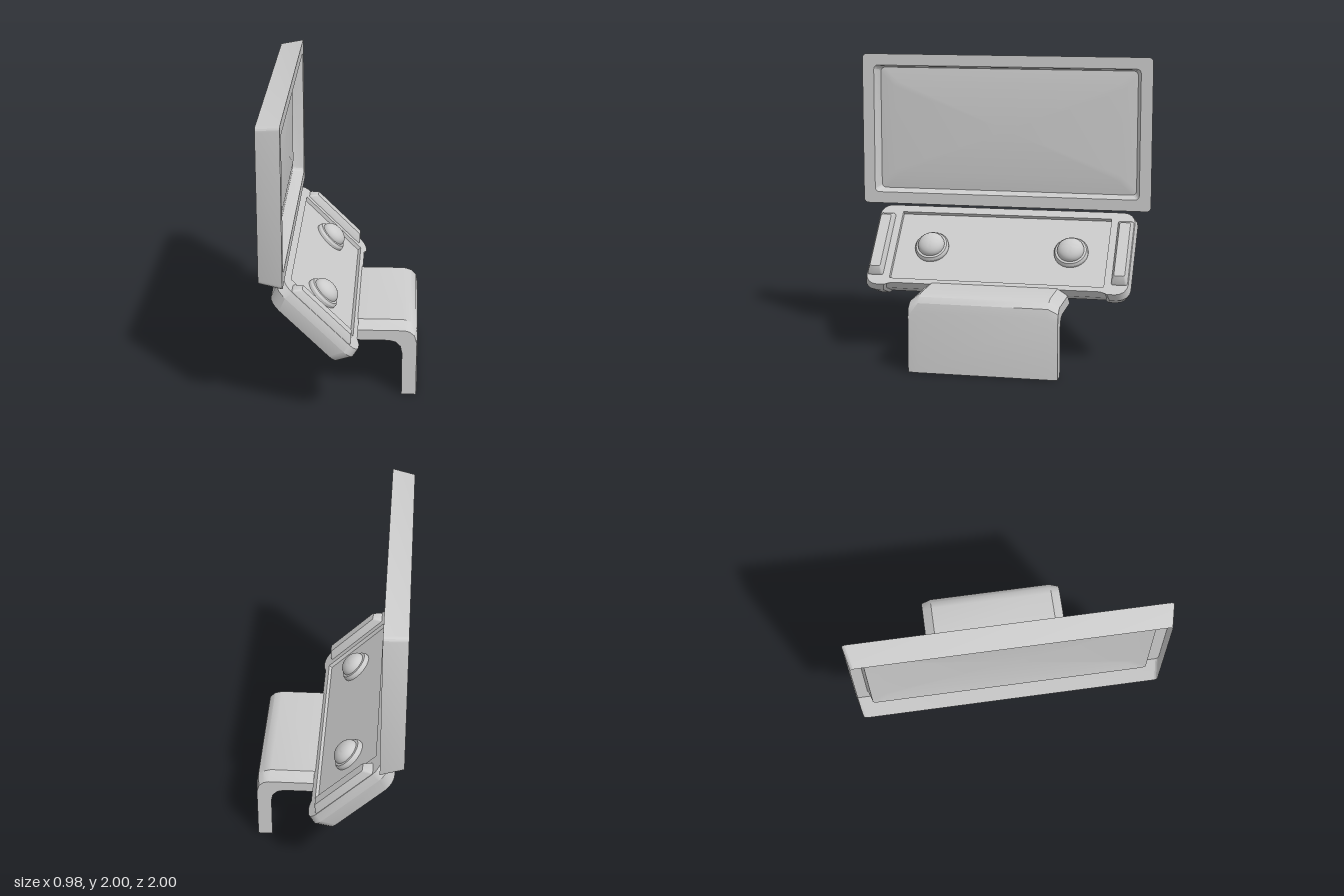
import * as THREE from 'three';
import { toCreasedNormals } from 'three/addons/utils/BufferGeometryUtils.js';

const grey = new THREE.MeshStandardMaterial({ color: 0xcccccc, side: THREE.DoubleSide });

// Rounded rectangle of points at height y; notch (optional) sets back the middle of the +x edge
function ring(hx, hz, r, y, notch) {
  const pts = [];
  const corners = [[1, 1], [-1, 1], [-1, -1], [1, -1]];
  corners.forEach(([sx, sz], k) => {
    for (let i = 0; i <= 4; i++) {
      const a = (k + i / 4) * Math.PI / 2;
      pts.push([sx * (hx - r) + r * Math.cos(a), y, sz * (hz - r) + r * Math.sin(a)]);
    }
  });
  if (notch !== undefined) {
    pts.push([hx, y, -0.85 * hz], [hx - notch, y, -0.83 * hz]);
    pts.push([hx - notch, y, 0.83 * hz], [hx, y, 0.85 * hz]);
  }
  return pts;
}

// Skin over rows of points; closed rows wrap round and the last one is capped
function skin(rows, closed, crease = 0.5) {
  const pos = [];
  const n = rows[0].length;
  const last = rows[rows.length - 1];
  for (let j = 0; j < (closed ? n : n - 1); j++) {
    const k = (j + 1) % n;
    for (let i = 0; i < rows.length - 1; i++) {
      const a = rows[i][j], b = rows[i][k], c = rows[i + 1][j], d = rows[i + 1][k];
      pos.push(...a, ...c, ...b, ...b, ...c, ...d);
    }
    if (closed) pos.push(0, last[0][1], 0, ...last[k], ...last[j]);
  }
  const g = new THREE.BufferGeometry();
  g.setAttribute('position', new THREE.Float32BufferAttribute(pos, 3));
  return toCreasedNormals(g, crease);
}

function add(parent, name, geometry) {
  const mesh = new THREE.Mesh(geometry, grey);
  mesh.name = name;
  parent.add(mesh);
  return mesh;
}

export function createModel() {
  const model = new THREE.Group();
  model.name = 'console';

  // Upright screen: open-backed tapered frame with a recessed, slightly bulging face
  const screen = add(model, 'screen', skin([
    ring(0.4975, 0.965, 0.03, -0.15),
    ring(0.5175, 1, 0.03, 0),
    ring(0.44, 0.92, 0.03, 0),
    ring(0.432, 0.912, 0.03, -0.015),
    ring(0.42, 0.892, 0.03, -0.08),
    ring(0.32, 0.79, 0.03, -0.066),
  ], true, 0.3));
  screen.rotation.z = -Math.PI / 2;
  screen.position.set(-0.34, 1.4825, 0);

  // Control panel, sloping at 45 degrees: local y is its normal, local x runs downhill
  const panel = new THREE.Group();
  panel.name = 'controlPanel';
  panel.rotation.z = -Math.PI / 4;
  panel.position.set(-0.116, 0.721, -0.015);
  model.add(panel);

  add(panel, 'panelBody', skin([
    ring(0.295, 0.88, 0.08, -0.15, 0.018),
    ring(0.335, 0.9, 0.08, -0.055, 0.018),
    ring(0.326, 0.885, 0.08, 0, 0.018),
    ring(0.272, 0.725, 0.004, 0, 0),
    ring(0.27, 0.723, 0.004, -0.025, 0),
  ], true));

  // Raised rails at both ends and a domed knob beside each
  const rail = skin([
    ring(0.255, 0.055, 0.015, -0.01),
    ring(0.248, 0.052, 0.015, 0.012),
    ring(0.212, 0.036, 0.012, 0.05),
  ], true);
  const profile = [[0.115, -0.03], [0.115, -0.008], [0.105, 0.008], [0.09, 0.01]];
  for (let i = 0; i <= 8; i++) {
    const a = i / 8 * Math.PI / 2;
    profile.push([0.09 * Math.cos(a), 0.015 + 0.058 * Math.sin(a)]);
  }
  const knob = toCreasedNormals(
    new THREE.LatheGeometry(profile.map(([x, y]) => new THREE.Vector2(x, y)), 32), 0.5);
  for (const [side, s] of [['left', 1], ['right', -1]]) {
    add(panel, side + 'Rail', rail).position.z = s * 0.826;
    add(panel, side + 'Knob', knob).position.z = s * 0.478;
  }

  // Bent leg: a thin sheet with bevelled edges and a flange down each side
  const face = [[0.09, 0.51], [0.39, 0.51], [0.44, 0.495], [0.475, 0.46], [0.486, 0.4], [0.486, 0]];
  const bevel = [[0.08, 0.46], [0.4, 0.46], [0.435, 0.45], [0.465, 0.425], [0.48, 0.37], [0.48, 0]];
  const flange = [[-0.01, 0.39], [0.3, 0.39], [0.345, 0.378], [0.375, 0.348], [0.385, 0.3], [0.385, 0]];
  const rows = face.map((p, i) => [
    [...flange[i], 0.475], [...bevel[i], 0.475], [...p, 0.41],
    [...p, -0.44], [...bevel[i], -0.505], [...flange[i], -0.505],
  ]);
  add(model, 'leg', skin(rows, false, 0.6));

  return model;
}
